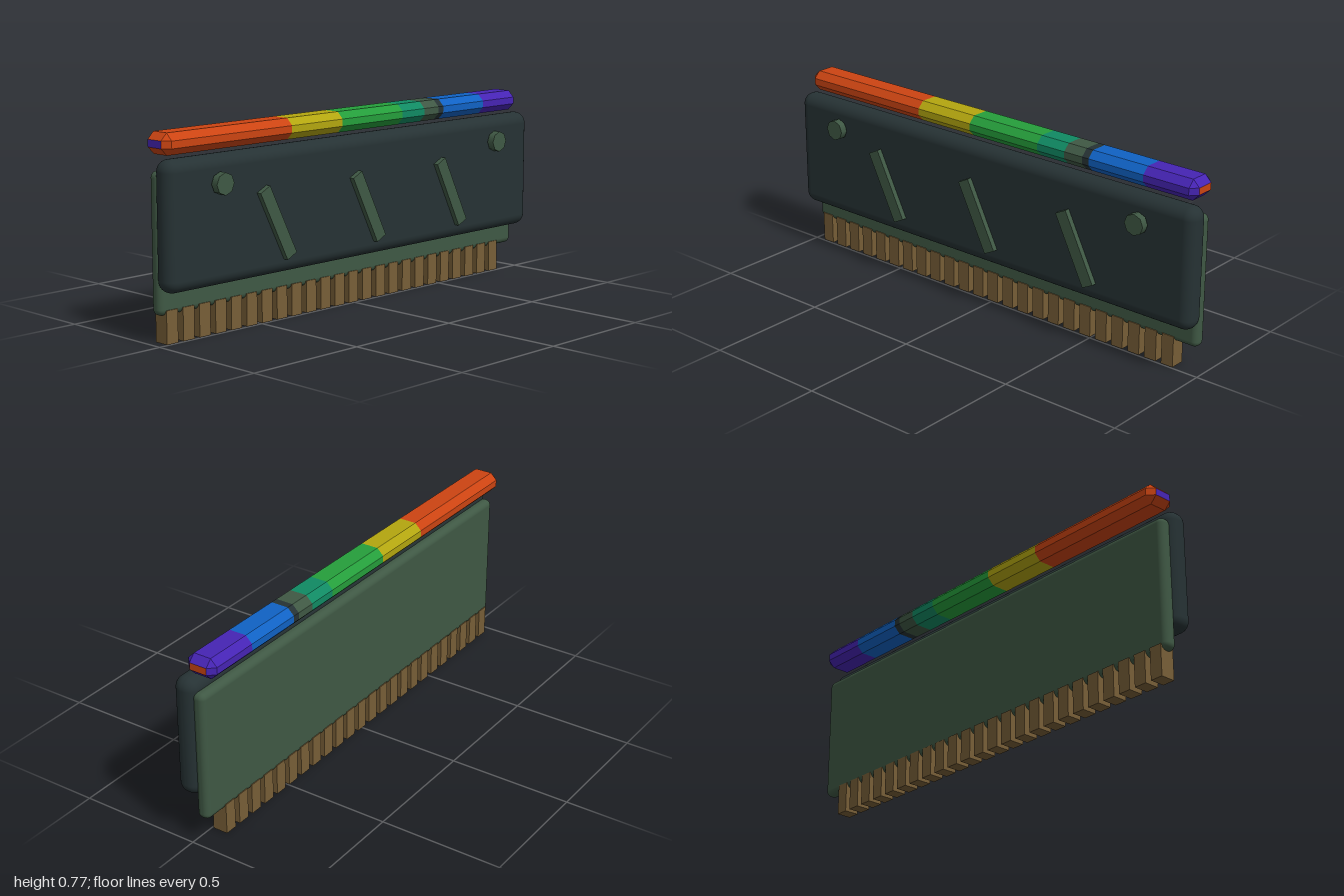
import * as THREE from 'three';
import { RoundedBoxGeometry } from 'three/addons/geometries/RoundedBoxGeometry.js';

const mat = (name, color, flatShading = false) => {
  const m = new THREE.MeshStandardMaterial({ color, flatShading });
  m.name = name;
  return m;
};

// Eight-sided ring at x; inset tells how far the flat faces shrink (0 = full section)
function ring(x, end) {
  const h = 0.041, w = 0.0635, c = 0.027, cy = 0.73, cz = -0.0385;
  const a = end ? h - c : h, b = end ? w - c : w;
  const pts = [
    [a, w - c], [h - c, b], [c - h, b], [-a, w - c],
    [-a, c - w], [c - h, -b], [h - c, -b], [a, c - w],
  ];
  return pts.map(([y, z]) => [x, cy + y, cz + z]);
}

// Skin between consecutive rings
function skin(rings) {
  const v = [];
  for (let r = 0; r + 1 < rings.length; r++) {
    const A = rings[r], B = rings[r + 1];
    for (let i = 0; i < 8; i++) {
      const j = (i + 1) % 8;
      v.push(...A[i], ...A[j], ...B[j], ...A[i], ...B[j], ...B[i]);
    }
  }
  return soup(v);
}

// Flat end face, dir = +1 or -1 along x
function cap(r, dir) {
  const v = [];
  for (let i = 1; i < 7; i++) v.push(...r[0], ...(dir > 0 ? r[i + 1] : r[i]), ...(dir > 0 ? r[i] : r[i + 1]));
  return soup(v);
}

function soup(v) {
  const g = new THREE.BufferGeometry();
  g.setAttribute('position', new THREE.Float32BufferAttribute(v, 3));
  // keep the outside facing away from the bar's axis and centre
  const p = g.attributes.position, a = new THREE.Vector3(), b = new THREE.Vector3(), c = new THREE.Vector3();
  const centre = new THREE.Vector3(0, 0.73, -0.0385);
  for (let i = 0; i < p.count; i += 3) {
    a.fromBufferAttribute(p, i); b.fromBufferAttribute(p, i + 1); c.fromBufferAttribute(p, i + 2);
    const n = b.clone().sub(a).cross(c.clone().sub(a));
    if (n.dot(a.clone().add(b).add(c).divideScalar(3).sub(centre)) < 0) {
      p.setXYZ(i + 1, c.x, c.y, c.z);
      p.setXYZ(i + 2, b.x, b.y, b.z);
    }
  }
  g.computeVertexNormals();
  return g;
}

export function createModel() {
  const model = new THREE.Group();
  model.name = 'memoryModule';
  const dark = mat('dark casing', 0x263234);
  const board = mat('board green', 0x3f5844);
  const gold = mat('contact gold', 0x775e37);
  const red = mat('light red', 0xcc4412, true);
  const yellow = mat('light yellow', 0xb3a60f, true);
  const green = mat('light green', 0x259e3b, true);
  const teal = mat('light teal', 0x108a63, true);
  const blue = mat('light blue', 0x1062c4, true);
  const purple = mat('light purple', 0x4624b4, true);

  const add = (name, geo, m, x, y, z, parent = model) => {
    const mesh = new THREE.Mesh(geo, m);
    mesh.name = name;
    mesh.position.set(x, y, z);
    parent.add(mesh);
    return mesh;
  };

  // Circuit board and heat spreader
  add('circuitBoard', new RoundedBoxGeometry(1.97, 0.528, 0.055, 4, 0.024), board, 0, 0.369, -0.0375);
  add('heatSpreader', new RoundedBoxGeometry(2, 0.485, 0.097, 5, 0.046), dark, 0, 0.4375, 0.0185);

  // Row of edge contacts
  const contacts = new THREE.Group();
  contacts.name = 'contacts';
  const pin = new THREE.BoxGeometry(0.053, 0.126, 0.062);
  for (let i = 0; i < 24; i++) add('contact', pin, gold, -0.933 + i * 0.0779, 0.063, -0.0375, contacts);
  model.add(contacts);

  // Slanted ribs on the front
  const rib = new THREE.BoxGeometry(0.053, 0.3, 0.04);
  for (const x of [-0.49, -0.003, 0.483]) add('slantedRib', rib, board, x, 0.397, 0.068).rotation.z = 0.464;

  // Screw heads
  const screw = new THREE.CylinderGeometry(0.042, 0.042, 0.03, 8).rotateX(Math.PI / 2);
  for (const x of [-0.764, 0.764]) add('screwHead', screw, board, x, 0.578, 0.087);

  // Light bar, cut into coloured lengths with chamfered ends
  const bar = new THREE.Group();
  bar.name = 'lightBar';
  const cuts = [-0.975, -0.36, -0.09, 0.25, 0.38, 0.465, 0.495, 0.745, 0.972];
  const colours = [red, yellow, green, teal, board, dark, blue, purple];
  const last = colours.length - 1;
  colours.forEach((m, i) => {
    const rings = [ring(cuts[i], i === 0), ring(cuts[i + 1], i === last)];
    if (i === 0) rings.splice(1, 0, ring(cuts[0] + 0.027, false));
    if (i === last) rings.splice(1, 0, ring(cuts[last + 1] - 0.027, false));
    add('lightSegment', skin(rings), m, 0, 0, 0, bar);
  });
  add('leftEndCap', cap(ring(cuts[last + 1], true), 1), red, 0, 0, 0, bar);
  add('rightEndCap', cap(ring(cuts[0], true), -1), purple, 0, 0, 0, bar);
  model.add(bar);

  return model;
}
